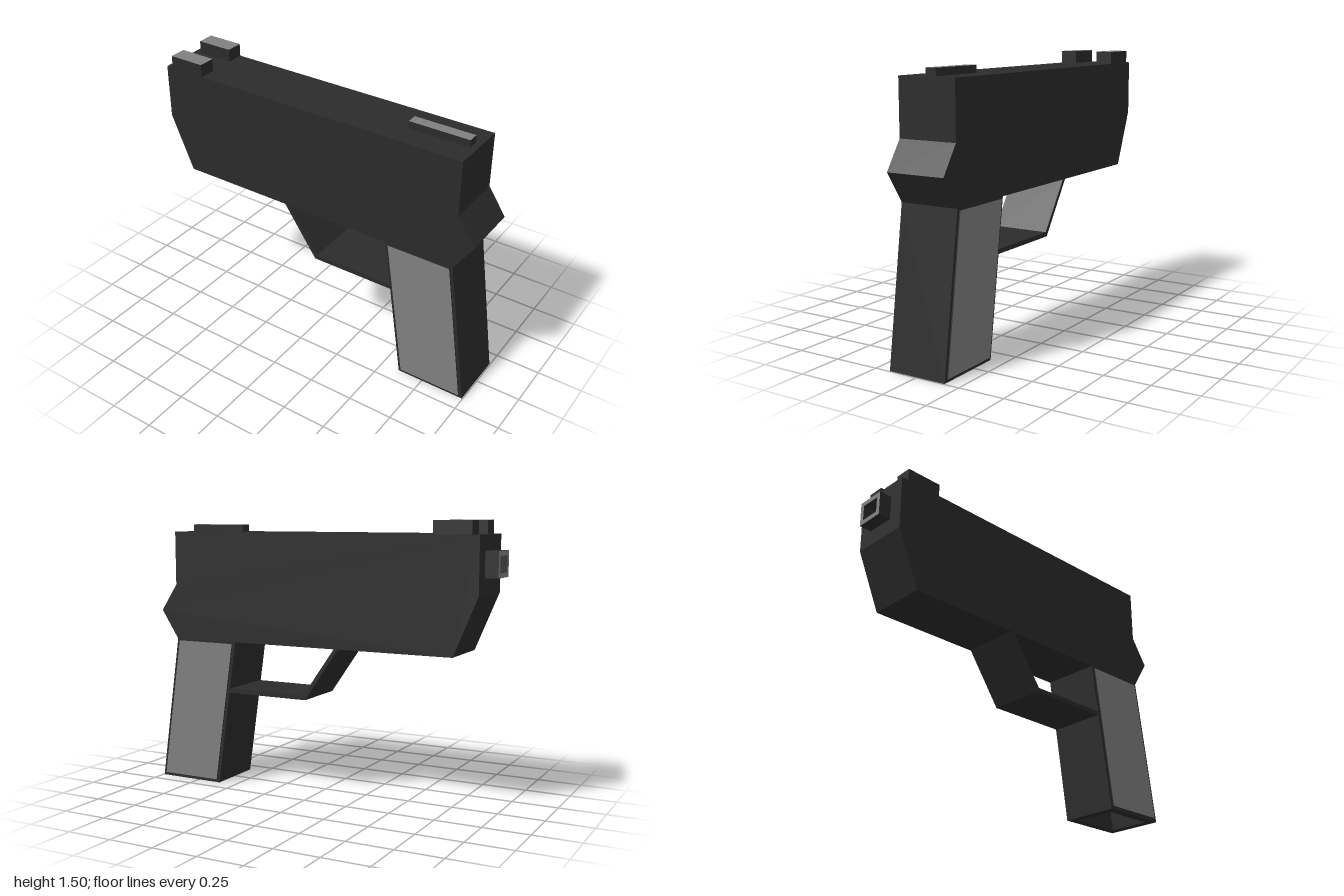
import * as THREE from 'three';

const dark = new THREE.MeshStandardMaterial({ color: 0x2b2b2b, flatShading: true });
const grey = new THREE.MeshStandardMaterial({ color: 0x808080, flatShading: true });

const outline = (points) => new THREE.Shape(points.map(([x, y]) => new THREE.Vector2(x, y)));

const rect = (x0, x1, y0, y1) => [[x0, y0], [x1, y0], [x1, y1], [x0, y1]];

// Rectangular frame with an opening inset by a rim
function frame(x0, x1, y0, y1, rim) {
  const shape = outline(rect(x0, x1, y0, y1));
  shape.holes.push(outline(rect(x0 + rim, x1 - rim, y0 + rim, y1 - rim)));
  return shape;
}

const extrude = (shape, depth) => new THREE.ExtrudeGeometry(shape, { depth, bevelEnabled: false });

export function createModel() {
  const model = new THREE.Group();
  const add = (name, geometry, material = dark) => {
    const mesh = new THREE.Mesh(geometry, material);
    mesh.name = name;
    model.add(mesh);
  };
  // Extrusions along z and y; materials are [end faces, side walls]
  const alongZ = (points, z0, z1) => extrude(outline(points), z1 - z0).translate(0, 0, z0);
  const alongY = (shape, y0, y1) => extrude(shape, y1 - y0).rotateX(-Math.PI / 2).translate(0, y0, 0);

  // Main body
  add('body', alongZ([
    [-0.93, 1.43], [-0.93, 1.13], [-0.8, 0.82], [0.875, 0.82],
    [0.98, 0.98], [0.88, 1.13], [0.88, 1.43],
  ], -0.165, 0.165));

  // Hollow square end piece with a grey rim
  add('muzzle', extrude(frame(-0.08, 0.08, 1.215, 1.35, 0.025), 0.07)
    .rotateY(-Math.PI / 2).translate(-0.93, 0, 0), [grey, dark]);

  // Sights with grey tops
  for (const [z0, z1] of [[0.07, 0.165], [-0.165, -0.07]]) {
    add('notchSight', alongY(outline(rect(-0.89, -0.685, z0, z1)), 1.43, 1.5), [grey, dark]);
  }
  add('bladeSight', alongY(outline(rect(0.51, 0.845, -0.03, 0.03)), 1.43, 1.47), [grey, dark]);

  // Slanted hollow grip, open at the bottom
  const slant = 0.12 / 0.82;
  const grip = alongY(frame(0.605, 0.995, -0.165, 0.165, 0.045), 0, 0.82);
  grip.applyMatrix4(new THREE.Matrix4().set(1, -slant, 0, 0, 0, 1, 0, 0, 0, 0, 1, 0, 0, 0, 0, 1));
  grip.computeVertexNormals();
  add('grip', grip);

  // Grey grip panels on both sides
  const gripX = (x, y) => [x - slant * y, y];
  const panel = [gripX(0.622, 0.018), gripX(0.978, 0.018), gripX(0.978, 0.81), gripX(0.622, 0.81)];
  add('leftGripPanel', alongZ(panel, 0.16, 0.172), [grey, dark]);
  add('rightGripPanel', alongZ(panel, -0.172, -0.16), [grey, dark]);

  // Bent strip below the body
  add('triggerGuard', alongZ([
    [-0.16, 0.825], [0.043, 0.53], [0.55, 0.53], [0.55, 0.555], [0.054, 0.555], [-0.135, 0.825],
  ], -0.16, 0.16));

  return model;
}
